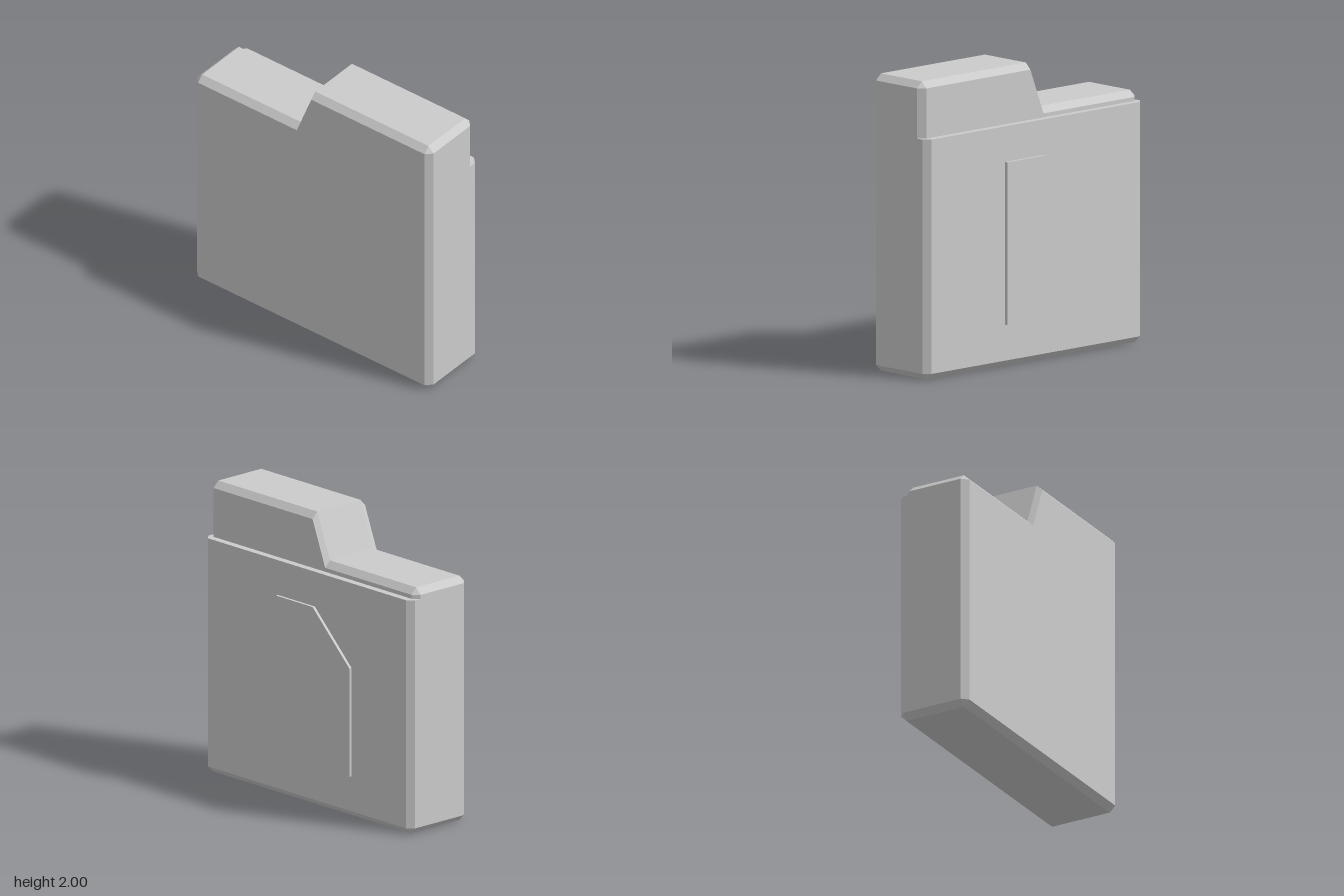
import * as THREE from 'three';

const C = 0.043; // chamfer size
const material = new THREE.MeshStandardMaterial({ color: 0xcccccc, flatShading: true, roughness: 0.8 });

// Lofts [z, y] outlines (counter-clockwise seen from +x) placed at rising x, and caps both ends
function loft(name, sections) {
  const pos = [];
  const rings = sections.map(([x, pts]) => pts.map(([z, y]) => new THREE.Vector3(x, y, z)));
  const tri = (a, b, c) => {
    const area = b.clone().sub(a).cross(c.clone().sub(a)).length();
    if (area > 1e-8) for (const p of [a, b, c]) pos.push(p.x, p.y, p.z);
  };
  for (let s = 0; s < rings.length - 1; s++) {
    const a = rings[s], b = rings[s + 1];
    a.forEach((_, i) => {
      const j = (i + 1) % a.length;
      tri(a[i], a[j], b[j]);
      tri(a[i], b[j], b[i]);
    });
  }
  const cap = (ring, flip) => {
    const pts = ring.filter((p, i) => p.distanceTo(ring[(i + 1) % ring.length]) > 1e-6);
    const flat = pts.map((p) => new THREE.Vector2(-p.z, p.y));
    for (const [i, j, k] of THREE.ShapeUtils.triangulateShape(flat, [])) {
      if (flip) tri(pts[i], pts[k], pts[j]);
      else tri(pts[i], pts[j], pts[k]);
    }
  };
  cap(rings[0], true);
  cap(rings[rings.length - 1], false);
  const geometry = new THREE.BufferGeometry();
  geometry.setAttribute('position', new THREE.Float32BufferAttribute(pos, 3));
  geometry.computeVertexNormals();
  const mesh = new THREE.Mesh(geometry, material);
  mesh.name = name;
  return mesh;
}

export function createModel() {
  const group = new THREE.Group();
  group.name = 'steppedCase';
  const e = 1 - C;

  // Stepped body: full outline with clipped corners, and the inset outline of its side faces
  const bodyOuter = [
    [1, C], [e, 0], [-e, 0], [-1, C],
    [-1, 1.69 - C], [-e, 1.69], [-0.122, 1.69], [0, 2], [e, 2], [1, 2 - C],
  ];
  const bodyInner = [
    [e, C], [e, C], [-e, C], [-e, C],
    [-e, 1.69 - C], [-e, 1.69 - C], [-0.122, 1.69 - C], [0, 2 - C], [e, 2 - C], [e, 2 - C],
  ];
  group.add(loft('body', [
    [-0.275, bodyInner], [-0.275 + C, bodyOuter], [0.157, bodyOuter], [0.2, bodyInner],
  ]));

  // Side cover: chamfered at the front, back and bottom, with a flat top ledge
  const coverOuter = [[1, C], [e, 0], [-e, 0], [-1, C], [-1, 1.62], [1, 1.62]];
  const coverInner = [[e, C], [e, C], [-e, C], [-e, C], [-e, 1.62], [e, 1.62]];
  group.add(loft('sideCover', [[0.157, coverOuter], [0.25 - C, coverOuter], [0.25, coverInner]]));

  // Thin raised panel with one cut corner
  const panel = [[0.28, 0.285], [-0.43, 0.285], [-0.43, 1.035], [-0.075, 1.38], [0.28, 1.38]];
  group.add(loft('raisedPanel', [[0.24, panel], [0.27, panel]]));

  return group;
}
